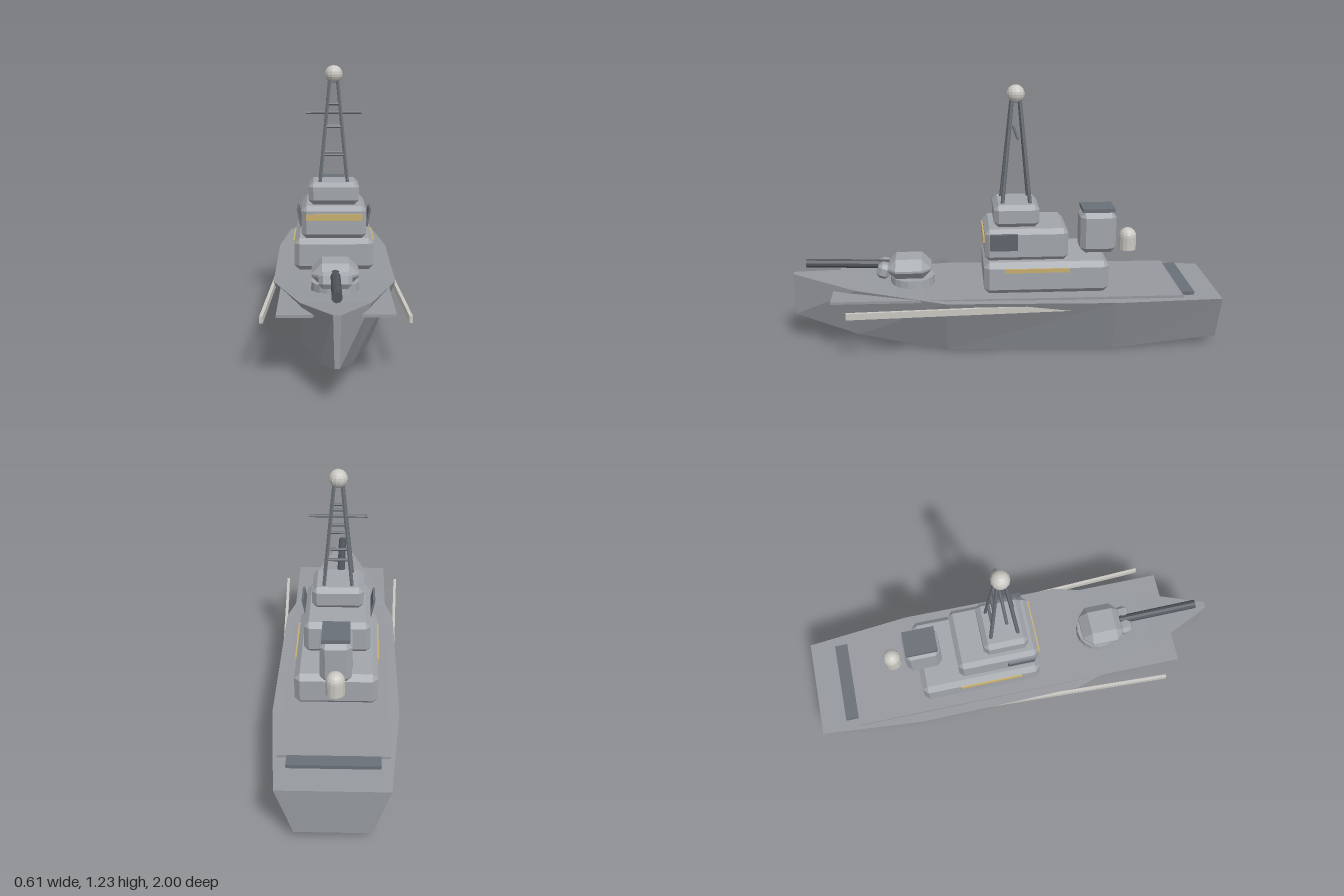
import * as THREE from 'three';
import { ConvexGeometry } from 'three/addons/geometries/ConvexGeometry.js';

const material = (name, color) => {
  const m = new THREE.MeshStandardMaterial({ color, flatShading: true });
  m.name = name;
  return m;
};

export function createModel() {
  const hullGrey = material('hull grey', 0x96999e);
  const upperGrey = material('superstructure grey', 0xa2a6ab);
  const steel = material('dark steel', 0x6a7077);
  const gunmetal = material('gunmetal', 0x50545a);
  const pale = material('pale grey', 0xc9c8c2);
  const glass = material('amber glass', 0xc8b070);
  const ship = new THREE.Group();
  ship.name = 'patrolShip';

  const add = (name, geometry, mat, x = 0, y = 0, z = 0) => {
    const mesh = new THREE.Mesh(geometry, mat);
    mesh.name = name;
    mesh.position.set(x, y, z);
    ship.add(mesh);
    return mesh;
  };
  const box = (name, w, h, d, mat, x, y, z) => add(name, new THREE.BoxGeometry(w, h, d), mat, x, y, z);

  // Box with every edge cut by c
  const chamferBox = (w, h, d, c) => {
    const points = [];
    for (const i of [-1, 1]) for (const j of [-1, 1]) for (const k of [-1, 1]) {
      const a = i * w / 2, b = j * h / 2, e = k * d / 2;
      points.push(
        new THREE.Vector3(a, b - j * c, e - k * c),
        new THREE.Vector3(a - i * c, b, e - k * c),
        new THREE.Vector3(a - i * c, b - j * c, e));
    }
    return new ConvexGeometry(points);
  };
  // Chamfered block spanning y0..y1 and z0..z1
  const block = (name, w, y0, y1, z0, z1, c, mat = upperGrey) =>
    add(name, chamferBox(w, y1 - y0, z1 - z0, c), mat, 0, (y0 + y1) / 2, (z0 + z1) / 2);

  // Round bar between two points
  const bar = (name, from, to, radius, mat, sides = 8) => {
    const a = new THREE.Vector3(...from), b = new THREE.Vector3(...to);
    const mesh = add(name, new THREE.CylinderGeometry(radius, radius, a.distanceTo(b), sides), mat);
    mesh.position.copy(a).lerp(b, 0.5);
    mesh.quaternion.setFromUnitVectors(new THREE.Vector3(0, 1, 0), b.sub(a).normalize());
    return mesh;
  };

  // Hull: stations of z, top half width, top y, bottom half width, bottom y
  const stations = [
    [-1, 0.235, 0.26, 0.16, 0.04],
    [-0.5, 0.28, 0.27, 0.182, 0],
    [0.28, 0.272, 0.28, 0.155, 0],
    [0.7, 0.145, 0.305, 0.065, 0.05],
    [1, 0.015, 0.345, 0.01, 0.14],
  ];
  const rings = stations.map(([z, tw, ty, bw, by]) => [[-tw, ty, z], [tw, ty, z], [bw, by, z], [-bw, by, z]]);
  const verts = [];
  const quad = (a, b, c, d) => verts.push(...a, ...b, ...c, ...a, ...c, ...d);
  for (let s = 0; s < rings.length - 1; s++) {
    for (let i = 0; i < 4; i++) {
      const j = (i + 1) % 4;
      quad(rings[s][i], rings[s + 1][i], rings[s + 1][j], rings[s][j]);
    }
  }
  quad(...rings[0]);
  quad(...[...rings[rings.length - 1]].reverse());
  const hull = new THREE.BufferGeometry();
  hull.setAttribute('position', new THREE.Float32BufferAttribute(verts, 3));
  hull.computeVertexNormals();
  add('hull', hull, hullGrey);

  // Deck plate, stern sill and rubbing strakes
  box('deckPlate', 0.47, 0.012, 1.62, hullGrey, 0, 0.279, -0.005).rotation.x = -0.003;
  box('sternSill', 0.39, 0.016, 0.062, steel, 0, 0.275, -0.845);
  for (const s of [-1, 1]) {
    const strake = box('rubbingStrake', 0.014, 0.03, 1.3, pale, s * 0.269, 0.243, 0.08);
    strake.rotation.y = s * 0.045;
  }

  // Superstructure tiers
  block('deckhouse', 0.37, 0.283, 0.435, -0.475, 0.105, 0.025);
  block('bridge', 0.3, 0.433, 0.585, -0.287, 0.1, 0.022);
  block('mastHouse', 0.236, 0.585, 0.69, -0.155, 0.056, 0.022);
  box('bridgeWindow', 0.26, 0.03, 0.009, glass, 0, 0.536, 0.103);
  for (const s of [-1, 1]) {
    box('deckhouseWindow', 0.009, 0.019, 0.3, glass, s * 0.187, 0.401, -0.14);
    const wing = box('bridgeWing', 0.01, 0.085, 0.128, steel, s * 0.16, 0.53, 0.013);
    wing.rotation.z = -s * 0.2;
  }

  // Funnel with cap, and the stern radar dome
  block('funnel', 0.14, 0.435, 0.632, -0.525, -0.355, 0.024);
  box('funnelCap', 0.122, 0.018, 0.152, steel, 0, 0.643, -0.44);
  const dome = [new THREE.Vector2(0, 0.435), new THREE.Vector2(0.042, 0.435)];
  for (let i = 0; i <= 5; i++) {
    const a = i / 5 * Math.PI / 2;
    dome.push(new THREE.Vector2(0.042 * Math.cos(a), 0.498 + 0.042 * Math.sin(a)));
  }
  add('sternDome', new THREE.LatheGeometry(dome, 14), pale, 0, 0, -0.59);

  // Lattice mast
  const mastZ = -0.05;
  const spread = y => 0.064 - (y - 0.685) * 0.096;
  for (const k of [-1, 1]) {
    for (const s of [-1, 1]) {
      const b = spread(0.685), t = spread(1.165);
      bar('mastLeg', [s * b, 0.685, mastZ + k * b], [s * t, 1.165, mastZ + k * t], 0.009, steel, 6);
    }
    for (const y of [0.815, 0.945, 1.05]) {
      const r = spread(y);
      bar('mastRung', [-r, y, mastZ + k * r], [r, y, mastZ + k * r], 0.007, steel, 6);
    }
  }
  bar('yardarm', [-0.13, 1.008, mastZ], [0.13, 1.008, mastZ], 0.007, steel, 6);
  add('mastDome', new THREE.SphereGeometry(0.042, 14, 10), pale, 0, 1.187, mastZ);

  // Forward gun
  add('turretRing', new THREE.CylinderGeometry(0.102, 0.105, 0.045, 18), upperGrey, 0, 0.304, 0.44);
  block('turret', 0.2, 0.322, 0.42, 0.35, 0.56, 0.044);
  const mantlet = add('mantlet', chamferBox(0.14, 0.07, 0.062, 0.018), upperGrey, 0, 0.362, 0.573);
  mantlet.rotation.x = -0.3;
  bar('gunBarrel', [0, 0.381, 0.55], [0, 0.393, 0.937], 0.021, gunmetal, 10);

  return ship;
}
